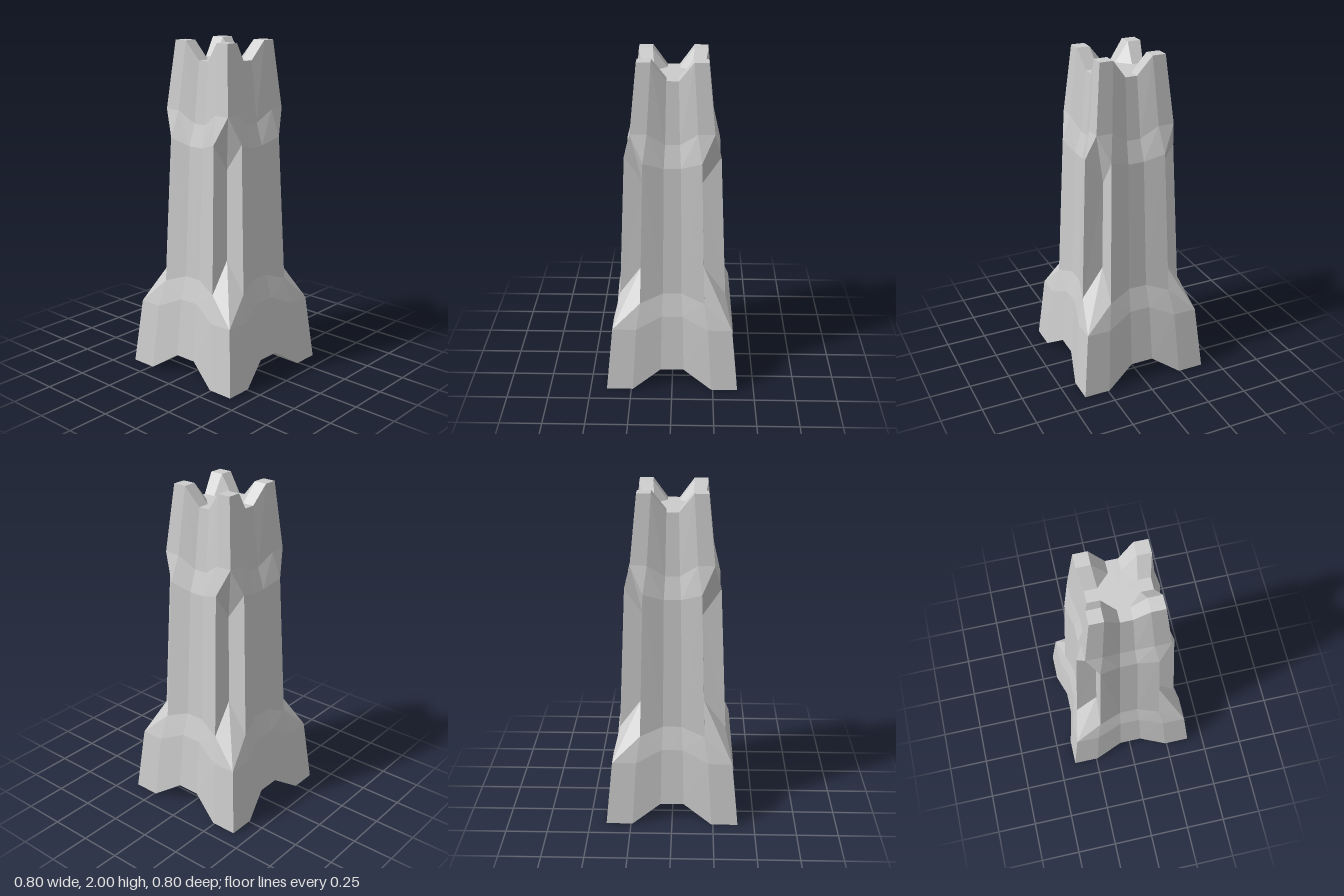
import * as THREE from 'three';

// Levels of the tower: half-width, height at the corners, height at the middle of each side
const LEVELS = [
  { s: 0.40, y: 0.00, yi: 0.115 },
  { s: 0.36, y: 0.40, yi: 0.47 },
  { s: 0.32, y: 0.56, yi: 0.61 },
  { s: 0.28, y: 1.44, yi: 1.40 },
  { s: 0.24, y: 1.60, yi: 1.53 },
  { s: 0.20, y: 2.00, yi: 1.89 },
];
const VALLEY_LOW = [0.188, 0.74, 0.188];
const VALLEY_HIGH = [0.172, 1.28, 0.172];

// Points of one level over an eighth of the plan: side centre, dip edge, shoulder, corner
const ring = ({ s, y, yi }) => [
  [0, yi, 0.89 * s], [0.175 * s, yi, 0.89 * s], [0.6 * s, y, s], [s, y, s],
];
const R = LEVELS.map(ring);

// Faces between two levels, over the given number of columns
function strip(i, columns) {
  const faces = [];
  for (let c = 0; c < columns; c++) {
    faces.push([R[i][c], R[i][c + 1], R[i + 1][c + 1], R[i + 1][c]]);
  }
  return faces;
}

// End surface: a square block at each corner sloping to a recessed floor
function cap({ s, y, yi }, flip) {
  const p = (x, h, z) => [x * s, h, z * s];
  const block = p(0.6, y, 0.6);
  const slope = p(0.175, yi, 0.535);
  const diagonal = p(0.355, yi, 0.355);
  const dip = p(0.175, yi, 0.89);
  const faces = [
    [block, p(0.6, y, 1), p(1, y, 1)],
    [dip, p(0.6, y, 1), block, slope],
    [slope, block, diagonal],
    [p(0, yi, 0), p(0, yi, 0.89), dip, slope, diagonal],
  ];
  return flip ? faces.map((f) => f.reverse()) : faces;
}

// Mirrors the eighth and turns it around the four sides
function makePart(name, faces, material) {
  const positions = [];
  for (let turn = 0; turn < 4; turn++) {
    const cos = Math.round(Math.cos(turn * Math.PI / 2));
    const sin = Math.round(Math.sin(turn * Math.PI / 2));
    for (const mirror of [1, -1]) {
      for (const face of faces) {
        const pts = face.map(([x, y, z]) => [
          mirror * x * cos + z * sin, y, -mirror * x * sin + z * cos,
        ]);
        if (mirror < 0) pts.reverse();
        // The fan keeps the face's own first point as its centre
        if (mirror < 0) pts.unshift(pts.pop());
        for (let k = 1; k < pts.length - 1; k++) {
          positions.push(...pts[0], ...pts[k], ...pts[k + 1]);
        }
      }
    }
  }
  const geometry = new THREE.BufferGeometry();
  geometry.setAttribute('position', new THREE.Float32BufferAttribute(positions, 3));
  geometry.computeVertexNormals();
  const mesh = new THREE.Mesh(geometry, material);
  mesh.name = name;
  return mesh;
}

export function createModel() {
  const group = new THREE.Group();
  group.name = 'tower';
  const stone = new THREE.MeshStandardMaterial({ color: 0xcccccc, flatShading: true });

  // Flared foot, with its four corner feet and recessed underside
  const base = [...cap(LEVELS[0], true), ...strip(0, 3)];

  // Sloping shoulders, pointed at the corners
  const shoulder = [
    ...strip(1, 2),
    [R[1][2], R[1][3], R[2][2]],
    [R[1][3], VALLEY_LOW, R[2][2]],
  ];

  // Shaft with a notched groove along each corner
  const shaft = [...strip(2, 2), [R[2][2], VALLEY_LOW, VALLEY_HIGH, R[3][2]]];

  // Collar narrowing to the turret, with overhanging corner facets
  const collar = [
    ...strip(3, 2),
    [R[3][2], VALLEY_HIGH, R[4][3]],
    [R[3][2], R[4][3], R[4][2]],
  ];

  // Turret with four corner battlements
  const turret = [...strip(4, 3), ...cap(LEVELS[5], false)];

  for (const [name, faces] of Object.entries({ base, shoulder, shaft, collar, turret })) {
    group.add(makePart(name, faces, stone));
  }
  return group;
}
